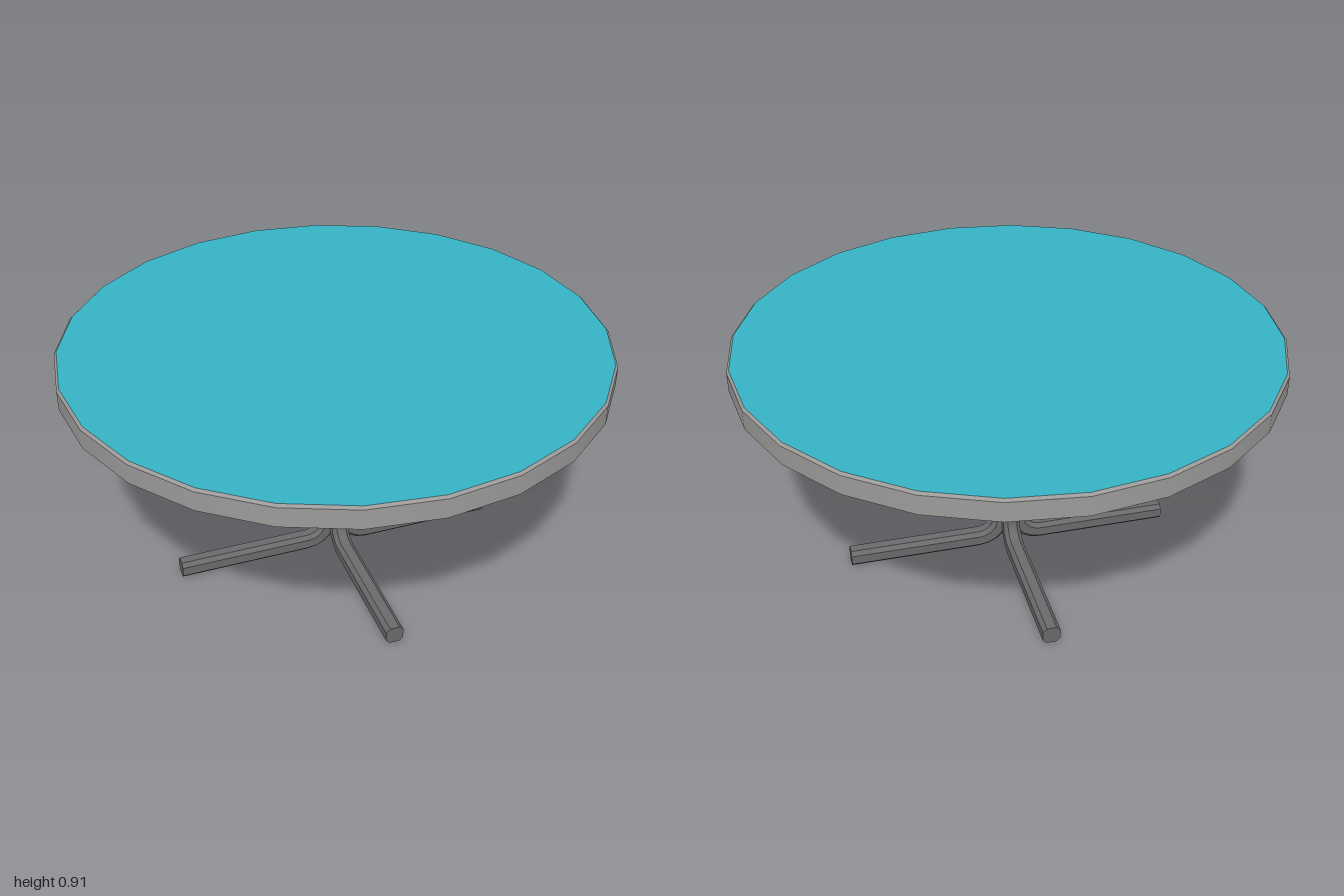
import * as THREE from 'three';
import { toCreasedNormals } from 'three/addons/utils/BufferGeometryUtils.js';

const TOP_Y = 0.912, UNDER_Y = 0.831, BEVEL = 0.009, SIDES = 24;

// Chamfered square bar swept along a C: foot, column, upper arm
function barGeometry() {
  const h = 0.033, k = 0.018; // half width and inner corner of the section
  const section = [[h, -k], [h, k], [k, h], [-k, h], [-h, k], [-h, -k], [-k, -h], [k, -h]];
  const column = 0.033, footY = 0.033, armY = 0.802;

  // Stations along the path: x, y and the angle around the bend
  const path = [[0.63, footY, -Math.PI / 2]];
  const bend = (cx, cy, r, from) => {
    for (let i = 0; i <= 5; i++) {
      const a = from - (i / 5) * Math.PI / 2;
      path.push([cx + r * Math.cos(a), cy + r * Math.sin(a), a]);
    }
  };
  bend(column + 0.09, footY + 0.09, 0.09, -Math.PI / 2);
  bend(column + 0.1, armY - 0.1, 0.1, -Math.PI);
  path.push([0.475, armY, -Math.PI * 1.5]);

  const n = section.length, positions = [], index = [];
  for (const [x, y, a] of path)
    for (const [u, z] of section) positions.push(x - u * Math.cos(a), y - u * Math.sin(a), z);
  for (let s = 0; s < path.length - 1; s++)
    for (let i = 0; i < n; i++) {
      const a = s * n + i, b = s * n + (i + 1) % n;
      index.push(a, a + n, b + n, a, b + n, b);
    }
  // End caps
  const last = (path.length - 1) * n;
  for (let i = 1; i < n - 1; i++) index.push(0, i, i + 1, last, last + i + 1, last + i);

  const geo = new THREE.BufferGeometry();
  geo.setAttribute('position', new THREE.Float32BufferAttribute(positions, 3));
  geo.setIndex(index);
  return toCreasedNormals(geo, 0.6);
}

export function createModel() {
  const teal = new THREE.MeshStandardMaterial({ color: 0x36b3c4 });
  teal.name = 'teal laminate';
  const rimGrey = new THREE.MeshStandardMaterial({ color: 0x9c9b9a });
  rimGrey.name = 'rim grey';
  const steel = new THREE.MeshStandardMaterial({ color: 0x6a6a6c });
  steel.name = 'dark steel';

  const model = new THREE.Group();
  model.name = 'roundTable';
  const add = (parent, name, geo, mat, y = 0) => {
    const mesh = new THREE.Mesh(geo, mat);
    mesh.name = name;
    mesh.position.y = y;
    parent.add(mesh);
    return mesh;
  };

  // Tabletop: top and underside discs joined by a rim with a small bevel
  const tabletop = new THREE.Group();
  tabletop.name = 'tabletop';
  model.add(tabletop);
  const inner = 1 - BEVEL, wall = TOP_Y - UNDER_Y - BEVEL;
  add(tabletop, 'surface', new THREE.CircleGeometry(inner, SIDES).rotateX(-Math.PI / 2), teal, TOP_Y);
  add(tabletop, 'underside', new THREE.CircleGeometry(1, SIDES).rotateX(Math.PI / 2), teal, UNDER_Y);
  add(tabletop, 'rim', new THREE.CylinderGeometry(1, 1, wall, SIDES, 1, true), rimGrey, UNDER_Y + wall / 2);
  add(tabletop, 'rimBevel', new THREE.CylinderGeometry(inner, 1, BEVEL, SIDES, 1, true), rimGrey, TOP_Y - BEVEL / 2);

  // Pedestal: four bent bars back to back
  const pedestal = new THREE.Group();
  pedestal.name = 'pedestal';
  model.add(pedestal);
  const bar = barGeometry();
  ['leftLeg', 'backLeg', 'rightLeg', 'frontLeg'].forEach((name, i) => {
    add(pedestal, name, bar, steel).rotation.y = i * Math.PI / 2;
  });
  return model;
}
